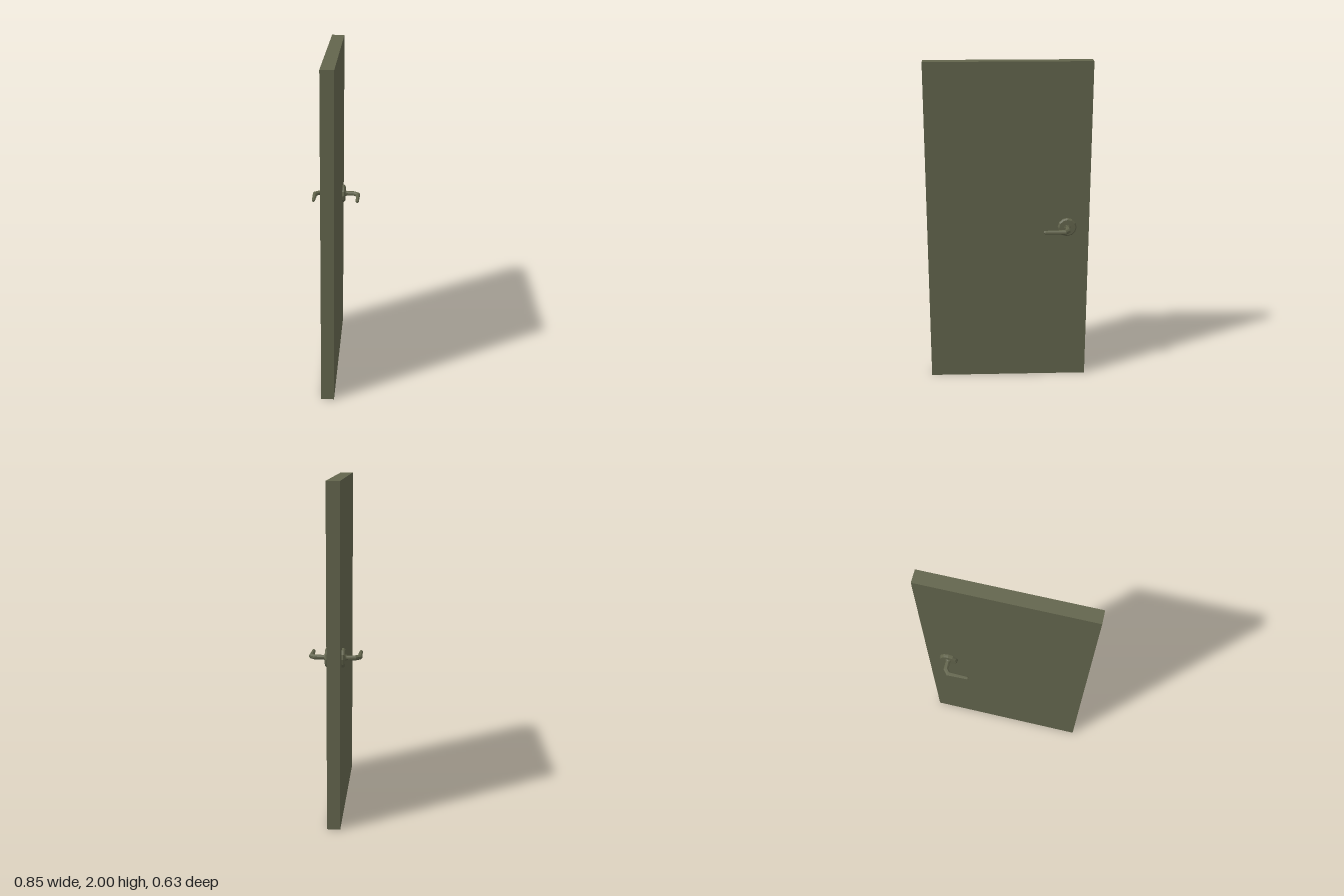
import * as THREE from 'three';

const olive = new THREE.MeshStandardMaterial({ color: 0x62644c, flatShading: true });
olive.name = 'dark olive';

const WIDTH = 0.98, HEIGHT = 2, THICKNESS = 0.077, SWING = 0.603;

function part(name, geometry) {
  const mesh = new THREE.Mesh(geometry, olive);
  mesh.name = name;
  return mesh;
}

// Tapered faceted bar along a path of [x, z, radius], mitred at each bend
function taperedBar(path, sides = 8) {
  const centres = path.map(([x, z]) => new THREE.Vector2(x, z));
  const positions = [], index = [];
  const last = path.length - 1;
  path.forEach(([x, z, r], i) => {
    const a = centres[Math.min(i + 1, last)].clone().sub(centres[Math.min(i, last - 1)]).normalize();
    const b = centres[Math.max(i, 1)].clone().sub(centres[Math.max(i - 1, 0)]).normalize();
    const t = a.clone().add(b).normalize();
    const miter = 1 / t.dot(a);
    for (let k = 0; k < sides; k++) {
      const angle = ((k + 0.5) / sides) * Math.PI * 2;
      const s = Math.cos(angle) * r * miter;
      positions.push(x + t.y * s, Math.sin(angle) * r, z - t.x * s);
    }
  });
  for (let i = 0; i < last; i++) {
    for (let k = 0; k < sides; k++) {
      const p = i * sides + k, q = i * sides + ((k + 1) % sides);
      index.push(p, q, p + sides, q, q + sides, p + sides);
    }
  }
  // End caps
  for (let k = 1; k < sides - 1; k++) {
    const e = last * sides;
    index.push(0, k + 1, k, e, e + k, e + k + 1);
  }
  const geometry = new THREE.BufferGeometry();
  geometry.setAttribute('position', new THREE.Float32BufferAttribute(positions, 3));
  geometry.setIndex(index);
  const flat = geometry.toNonIndexed();
  flat.computeVertexNormals();
  return flat;
}

// Round plate, collar and bent lever on the +z face
function makeHandle(name) {
  const group = new THREE.Group();
  group.name = name;

  const profile = [[0.057, 0.034], [0.057, 0.049], [0.049, 0.057], [0.019, 0.058], [0.017, 0.064], [0, 0.064]]
    .map(([r, y]) => new THREE.Vector2(r, y));
  const plate = part('handlePlate', new THREE.LatheGeometry(profile, 12).rotateX(Math.PI / 2));
  plate.position.x = 0.357;

  const lever = part('lever', taperedBar([
    [0.358, 0.05, 0.0135],
    [0.357, 0.113, 0.0145],
    [0.335, 0.139, 0.0145],
    [0.217, 0.139, 0.0105],
    [0.208, 0.139, 0.0065],
  ]));
  group.add(plate, lever);
  return group;
}

export function createModel() {
  const model = new THREE.Group();
  model.name = 'door';

  // Everything hangs on the swung-open leaf
  const leaf = new THREE.Group();
  leaf.name = 'doorLeaf';
  leaf.position.set(-0.0015, 0, 0.004);
  leaf.rotation.y = SWING;

  const panel = part('panel', new THREE.BoxGeometry(WIDTH, HEIGHT, THICKNESS));
  panel.position.y = HEIGHT / 2;

  const frontHandle = makeHandle('frontHandle');
  const backHandle = makeHandle('backHandle');
  backHandle.rotation.x = Math.PI;
  frontHandle.position.y = backHandle.position.y = 1.003;

  leaf.add(panel, frontHandle, backHandle);
  model.add(leaf);
  return model;
}
